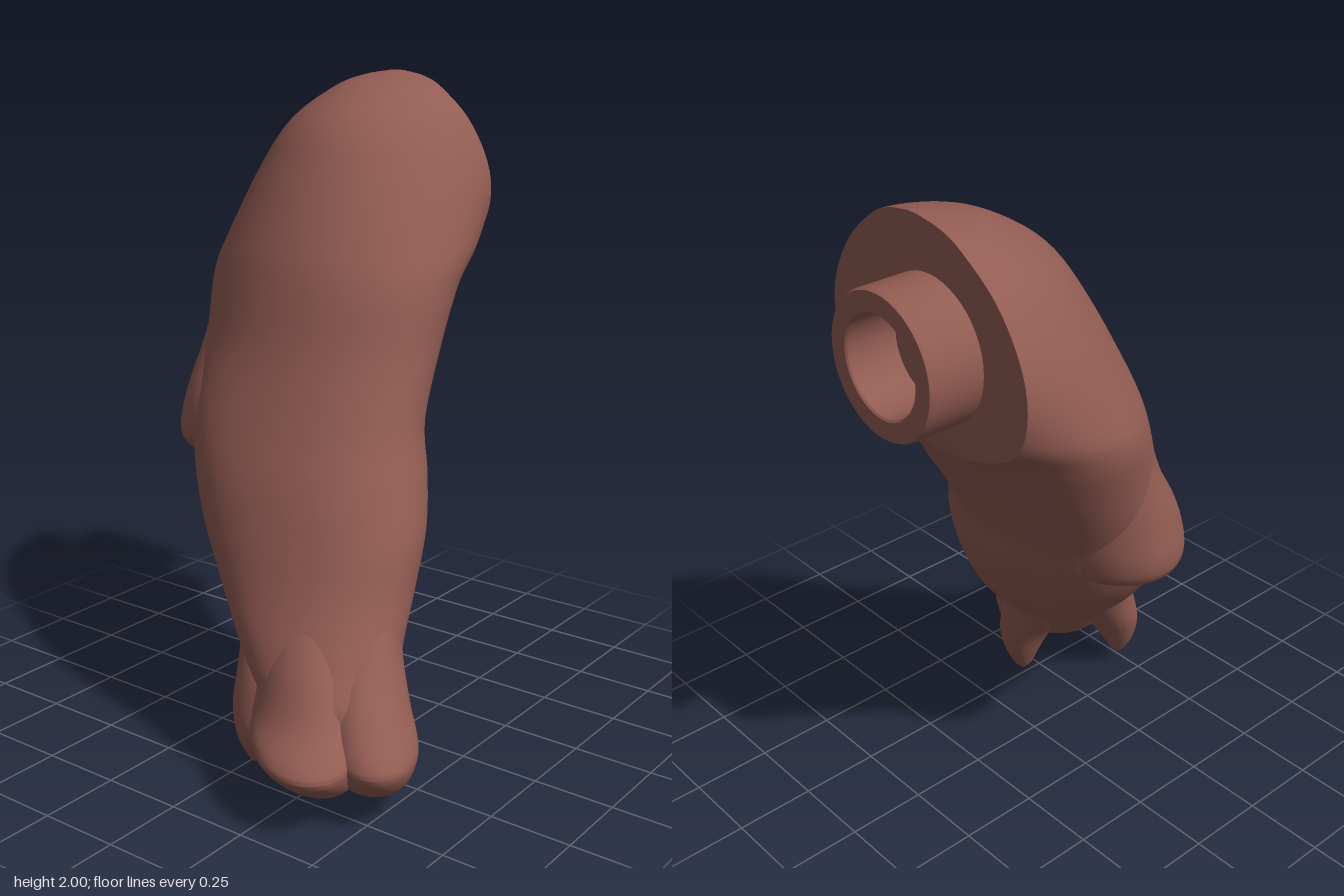
import * as THREE from 'three';
import { toCreasedNormals } from 'three/addons/utils/BufferGeometryUtils.js';

const skin = new THREE.MeshStandardMaterial({ color: 0x925c52 });
const CUT = 0.535; // plane of the flat shoulder face
const SIDES = 80;

const spline = (a, b, c, d, t) =>
  0.5 * (2 * b + (c - a) * t + (2 * a - 5 * b + 4 * c - d) * t * t + (3 * b - a - 3 * c + d) * t * t * t);

// Insert smooth in-between rows
function refine(rows, steps) {
  const out = [];
  const at = (i) => rows[Math.max(0, Math.min(rows.length - 1, i))];
  for (let i = 0; i < rows.length - 1; i++)
    for (let s = 0; s < steps; s++)
      out.push(at(i).map((_, k) => spline(at(i - 1)[k], at(i)[k], at(i + 1)[k], at(i + 2)[k], s / steps)));
  out.push(at(rows.length - 1));
  return out;
}

// Loft of level slices, top to bottom: [y, xMin, xMax, zMin, zMax, skew, bulge]
// A negative skew stretches the oval along the -x +z diagonal;
// the bulge swells its -x -z corner.
function loft(name, rows) {
  const pos = [], index = [];
  const rings = refine(rows, 6);
  for (const [y, x0, x1, z0, z1, skew, bulge = 0] of rings) {
    const cx = (x0 + x1) / 2, rx = (x1 - x0) / 2;
    // angle where the oval meets the cut, so that a vertex lies on its edge
    const edge = Math.max(0.1, Math.acos(Math.max(-1, Math.min(1, (CUT - cx) / rx))));
    for (let j = 0; j < SIDES; j++) {
      const u = (j / SIDES) * 2 - 1, m = Math.abs(u);
      const t = Math.sign(u) * (m < 0.2 ? (m / 0.2) * edge : edge + ((m - 0.2) / 0.8) * (Math.PI - edge));
      const swell = bulge * Math.max(0, -Math.cos(t - Math.PI / 4)) ** 4 * Math.SQRT1_2;
      const x = cx + rx * Math.cos(t) - swell;
      const z = (z0 + z1) / 2 + ((z1 - z0) / 2) * Math.sin(t + skew) - swell;
      pos.push(Math.min(x, CUT), y, z);
    }
  }
  for (let i = 0; i < rings.length - 1; i++)
    for (let j = 0; j < SIDES; j++) {
      const k = (j + 1) % SIDES;
      const a = i * SIDES + j, b = i * SIDES + k;
      index.push(a, b, a + SIDES, b, b + SIDES, a + SIDES);
    }
  // end caps
  const last = (rings.length - 1) * SIDES;
  for (const [ring, base] of [[rings[0], 0], [rings[rings.length - 1], last]]) {
    const c = pos.length / 3;
    pos.push(Math.min((ring[1] + ring[2]) / 2, CUT), ring[0], (ring[3] + ring[4]) / 2);
    for (let j = 0; j < SIDES; j++) {
      const a = base + j, b = base + (j + 1) % SIDES;
      if (base) index.push(c, a, b); else index.push(c, b, a);
    }
  }
  const geo = new THREE.BufferGeometry();
  geo.setAttribute('position', new THREE.Float32BufferAttribute(pos, 3));
  geo.setIndex(index);
  const mesh = new THREE.Mesh(toCreasedNormals(geo, 0.75), skin);
  mesh.name = name;
  return mesh;
}

export function createModel() {
  const model = new THREE.Group();
  model.name = 'hoofedArm';

  // Shoulder, upper arm, forearm and wrist
  model.add(loft('arm', [
    [2.0, 0.5, 0.57, -0.16, -0.12, 0, 0],
    [1.985, 0.42, 0.68, -0.25, -0.04, 0, 0],
    [1.95, 0.3, 0.78, -0.33, 0.03, -0.05, 0],
    [1.85, 0.145, 0.9, -0.46, 0.14, -0.08, 0],
    [1.7, 0.035, 0.91, -0.55, 0.225, -0.1, 0],
    [1.5, -0.075, 0.71, -0.592, 0.28, -0.12, 0],
    [1.38, -0.125, 0.55, -0.597, 0.292, -0.14, 0],
    [1.2, -0.185, 0.43, -0.545, 0.292, -0.14, 0.015],
    [1.0, -0.265, 0.305, -0.485, 0.312, -0.15, 0.045],
    [0.85, -0.325, 0.265, -0.42, 0.355, -0.16, 0.06],
    [0.7, -0.375, 0.195, -0.34, 0.395, -0.17, 0.06],
    [0.55, -0.43, 0.1, -0.22, 0.41, -0.18, 0.05],
    [0.4, -0.505, -0.05, -0.07, 0.44, -0.16, 0.03],
    [0.3, -0.55, -0.12, 0.02, 0.48, -0.15, 0.01],
    [0.2, -0.52, -0.19, 0.1, 0.46, -0.15, 0],
    [0.14, -0.45, -0.27, 0.2, 0.38, 0, 0],
  ]));

  // Elbow knob at the back
  model.add(loft('elbow', [
    [1.38, 0.02, 0.2, -0.52, -0.25, -0.1],
    [1.2, -0.1, 0.22, -0.525, -0.12, -0.1],
    [1.04, -0.2, 0.21, -0.538, -0.08, -0.08],
    [0.93, -0.23, 0.19, -0.548, -0.06, -0.05],
    [0.87, -0.21, 0.17, -0.535, -0.08, 0],
    [0.84, -0.16, 0.13, -0.49, -0.12, 0],
    [0.82, -0.05, 0.06, -0.38, -0.22, 0],
  ]));

  // Cloven hoof: two toes side by side
  model.add(loft('rightToe', [
    [0.54, -0.42, -0.24, 0.02, 0.27, -0.3],
    [0.4, -0.525, -0.26, 0.03, 0.36, -0.35],
    [0.28, -0.605, -0.3, 0.06, 0.42, -0.35],
    [0.21, -0.69, -0.33, 0.09, 0.475, -0.38],
    [0.17, -0.7, -0.34, 0.13, 0.482, -0.38],
    [0.11, -0.63, -0.35, 0.19, 0.455, -0.35],
    [0.07, -0.55, -0.38, 0.26, 0.41, -0.3],
    [0.06, -0.5, -0.43, 0.31, 0.36, 0],
  ]));
  model.add(loft('leftToe', [
    [0.54, -0.33, -0.06, 0.15, 0.4, -0.3],
    [0.4, -0.43, -0.11, 0.18, 0.455, -0.4],
    [0.28, -0.52, -0.16, 0.23, 0.535, -0.45],
    [0.21, -0.565, -0.19, 0.25, 0.59, -0.45],
    [0.17, -0.57, -0.2, 0.26, 0.6, -0.45],
    [0.11, -0.53, -0.22, 0.28, 0.57, -0.42],
    [0.07, -0.46, -0.25, 0.32, 0.52, -0.35],
    [0.06, -0.38, -0.31, 0.38, 0.45, 0],
  ]));

  // Dewclaws behind the hoof
  model.add(loft('leftDewclaw', [
    [0.55, -0.18, 0.02, 0.02, 0.24, -0.1],
    [0.35, -0.29, -0.08, 0.06, 0.32, -0.1],
    [0.2, -0.28, -0.1, 0.16, 0.345, 0],
    [0.1, -0.25, -0.13, 0.21, 0.335, 0],
    [0.03, -0.23, -0.165, 0.245, 0.31, 0],
    [0.005, -0.21, -0.185, 0.265, 0.29, 0],
    [0, -0.2, -0.195, 0.275, 0.28, 0],
  ]));
  model.add(loft('rightDewclaw', [
    [0.55, -0.37, -0.17, -0.1, 0.14, -0.1],
    [0.35, -0.49, -0.26, -0.04, 0.2, -0.1],
    [0.22, -0.525, -0.35, -0.015, 0.18, 0],
    [0.13, -0.52, -0.41, 0.015, 0.145, 0],
    [0.075, -0.495, -0.44, 0.045, 0.11, 0],
    [0.053, -0.48, -0.455, 0.065, 0.085, 0],
    [0.05, -0.47, -0.465, 0.072, 0.078, 0],
  ]));

  // Hollow shoulder peg
  const profile = [[0.205, 0], [0.205, 0.19], [0.2, 0.2], [0.145, 0.2], [0.14, 0.195], [0.14, 0.04], [0, 0.04]]
    .map(([r, h]) => new THREE.Vector2(r, h));
  const peg = new THREE.Mesh(toCreasedNormals(new THREE.LatheGeometry(profile, 48), 0.6), skin);
  peg.name = 'shoulderPeg';
  peg.rotation.z = -Math.PI / 2;
  peg.position.set(0.502, 1.65, -0.2);
  model.add(peg);

  return model;
}
